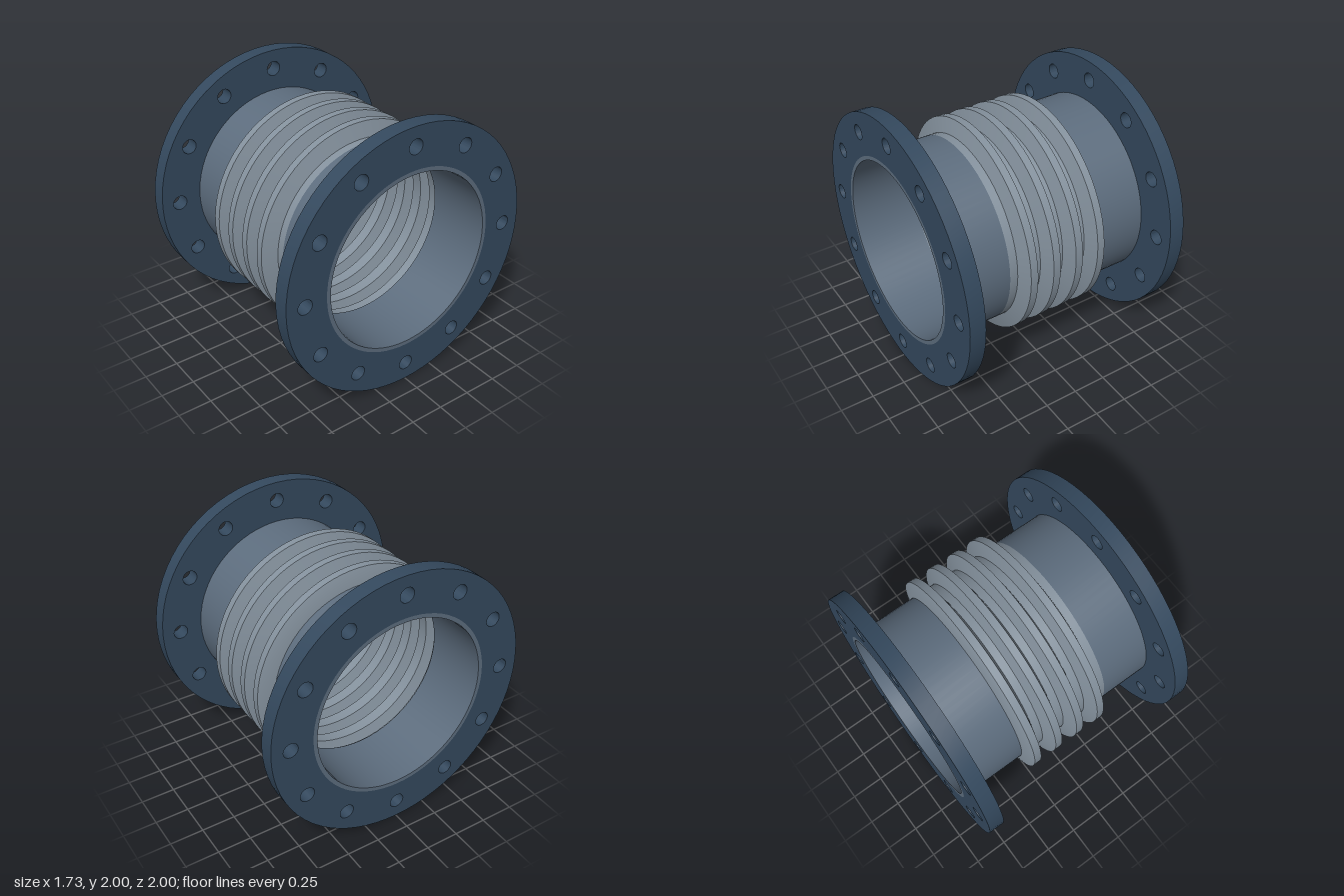
import * as THREE from 'three';
import { toCreasedNormals } from 'three/addons/utils/BufferGeometryUtils.js';

const HALF = 0.867, FLANGE = 0.117, BELLOWS = 0.367;
const R_OUT = 0.69, R_IN = 0.66;

// Solid of revolution about the x axis; the outline is [radius, x] pairs,
// outer side towards +x and then back along the inner side.
function revolve(name, outline, color) {
  const points = [...outline, outline[0]].map(([r, x]) => new THREE.Vector2(r, x));
  const geometry = toCreasedNormals(new THREE.LatheGeometry(points, 72).rotateZ(-Math.PI / 2), 0.5);
  const mesh = new THREE.Mesh(geometry, new THREE.MeshStandardMaterial({ color, side: THREE.DoubleSide }));
  mesh.name = name;
  return mesh;
}

// Round plate with a central bore and a circle of bolt holes
function flangeGeometry() {
  const shape = new THREE.Shape().absarc(0, 0, 1, 0, Math.PI * 2);
  shape.holes.push(new THREE.Path().absarc(0, 0, R_OUT, 0, Math.PI * 2, true));
  for (let i = 0; i < 12; i++) {
    const a = (i / 12) * Math.PI * 2;
    shape.holes.push(new THREE.Path().absarc(0.857 * Math.cos(a), 0.857 * Math.sin(a), 0.055, 0, Math.PI * 2, true));
  }
  const geometry = new THREE.ExtrudeGeometry(shape, { depth: FLANGE, bevelEnabled: false, curveSegments: 36 });
  return toCreasedNormals(geometry.translate(0, 0, -FLANGE / 2).rotateY(Math.PI / 2), 0.5);
}

// Four trapezoidal convolutions in a thin wall
function bellowsOutline() {
  const wall = 0.02, pitch = BELLOWS / 2, slope = 0.034, crest = 0.056;
  const outer = [], inner = [];
  for (let i = 0; i < 4; i++) {
    const x = -BELLOWS + i * pitch;
    const end = x + 2 * slope + crest;
    outer.push([R_OUT, x], [0.8, x + slope], [0.8, x + slope + crest], [R_OUT, end]);
    const s = 0.014; // narrows the groove seen from inside
    inner.push([R_OUT - wall, x + s], [0.8 - wall, x + slope + s],
      [0.8 - wall, x + slope + crest - s], [R_OUT - wall, end - s]);
  }
  outer.push([R_OUT, BELLOWS]);
  inner.unshift([R_OUT - wall, -BELLOWS]);
  inner.push([R_OUT - wall, BELLOWS]);
  return [...outer, ...inner.reverse()];
}

export function createModel() {
  const model = new THREE.Group();
  model.name = 'expansionJoint';

  model.add(revolve('bellows', bellowsOutline(), 0x85929e));

  // Pipe stub and flange at each end
  const flangeGeo = flangeGeometry();
  const flangeMat = new THREE.MeshStandardMaterial({ color: 0x34495e });
  for (const [side, s] of [['left', 1], ['right', -1]]) {
    const x0 = s > 0 ? BELLOWS : -HALF;
    const x1 = s > 0 ? HALF : -BELLOWS;
    model.add(revolve(side + 'Pipe', [[R_OUT, x0], [R_OUT, x1], [R_IN, x1], [R_IN, x0]], 0x5d6d7e));

    const flange = new THREE.Mesh(flangeGeo, flangeMat);
    flange.name = side + 'Flange';
    flange.position.x = s * (HALF - FLANGE / 2);
    model.add(flange);
  }

  model.position.y = 1;
  return model;
}
